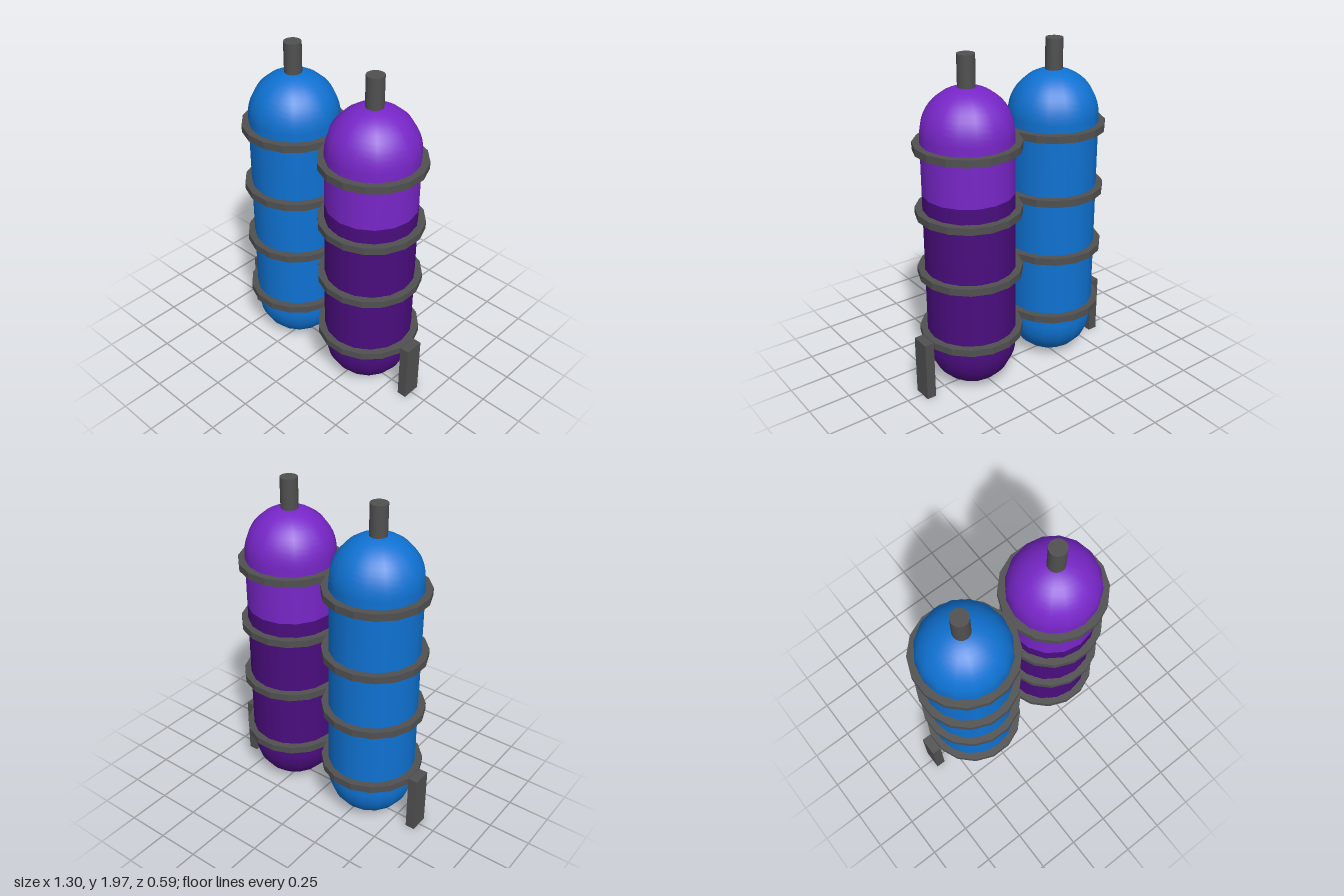
import * as THREE from 'three';

const mat = (name, color) => {
  const m = new THREE.MeshStandardMaterial({ color });
  m.name = name;
  return m;
};

const SIDES = 16, R = 0.26, TANK_X = 0.295;
const BOTTOM = 0.026, TOP = 1.828, SPLIT = 1.232;

export function createModel() {
  const blue = mat('blue', 0x0f72d2);
  const purple = mat('purple', 0x7826c8);
  const darkPurple = mat('dark purple', 0x4a0d7e);
  const grey = mat('dark grey', 0x505050);

  const model = new THREE.Group();
  model.name = 'twinTanks';

  const add = (parent, name, geometry, material, x = 0, y = 0, z = 0) => {
    const mesh = new THREE.Mesh(geometry, material);
    mesh.name = name;
    mesh.position.set(x, y, z);
    parent.add(mesh);
    return mesh;
  };

  // Quarter-circle dome profiles, listed from bottom to top
  const dome = (centreY, from) => Array.from({ length: 13 }, (_, i) => {
    const a = from + (i / 12) * Math.PI / 2;
    return new THREE.Vector2(Math.max(0, Math.cos(a)) * R, centreY + Math.sin(a) * R);
  });
  const lower = dome(BOTTOM + R, -Math.PI / 2);
  const upper = dome(TOP - R, 0);
  const seam = new THREE.Vector2(R, SPLIT);
  const lathe = (points) => new THREE.LatheGeometry(points, SIDES);

  // Flat sixteen-sided strap ring, with flats facing the four axes
  const ringShape = new THREE.Shape();
  const hole = new THREE.Path();
  for (let i = 0; i < SIDES; i++) {
    const a = ((i + 0.5) / SIDES) * Math.PI * 2;
    const c = Math.cos(a), s = Math.sin(a);
    if (i === 0) {
      ringShape.moveTo(0.301 * c, 0.301 * s);
      hole.moveTo(0.257 * c, 0.257 * s);
    } else {
      ringShape.lineTo(0.301 * c, 0.301 * s);
      hole.lineTo(0.257 * c, 0.257 * s);
    }
  }
  ringShape.closePath();
  hole.closePath();
  ringShape.holes.push(hole);
  const strapGeometry = new THREE.ExtrudeGeometry(ringShape, { depth: 0.042, bevelEnabled: false });
  strapGeometry.rotateX(-Math.PI / 2).translate(0, -0.021, 0);

  const valveGeometry = new THREE.CylinderGeometry(0.05, 0.05, 0.2, SIDES);
  const legGeometry = new THREE.BoxGeometry(0.057, 0.362, 0.114);

  for (const side of [-1, 1]) {
    const unit = new THREE.Group();
    unit.name = side < 0 ? 'rightTankUnit' : 'leftTankUnit';
    unit.position.x = side * TANK_X;
    model.add(unit);

    // Tank body: plain blue, or two-tone purple
    if (side < 0) {
      add(unit, 'blueTank', lathe([...lower, ...upper]), blue);
    } else {
      add(unit, 'lowerPurpleTank', lathe([...lower, seam]), darkPurple);
      add(unit, 'upperPurpleTank', lathe([seam, ...upper]), purple);
    }

    // Valve stub, straps and outer leg
    add(unit, 'valve', valveGeometry, grey, 0, 1.9, 0);
    for (const y of [0.366, 0.756, 1.123, 1.504]) add(unit, 'strap', strapGeometry, grey, 0, y, 0);
    add(unit, 'leg', legGeometry, grey, side * 0.3275, 0.207, 0);
  }
  return model;
}
